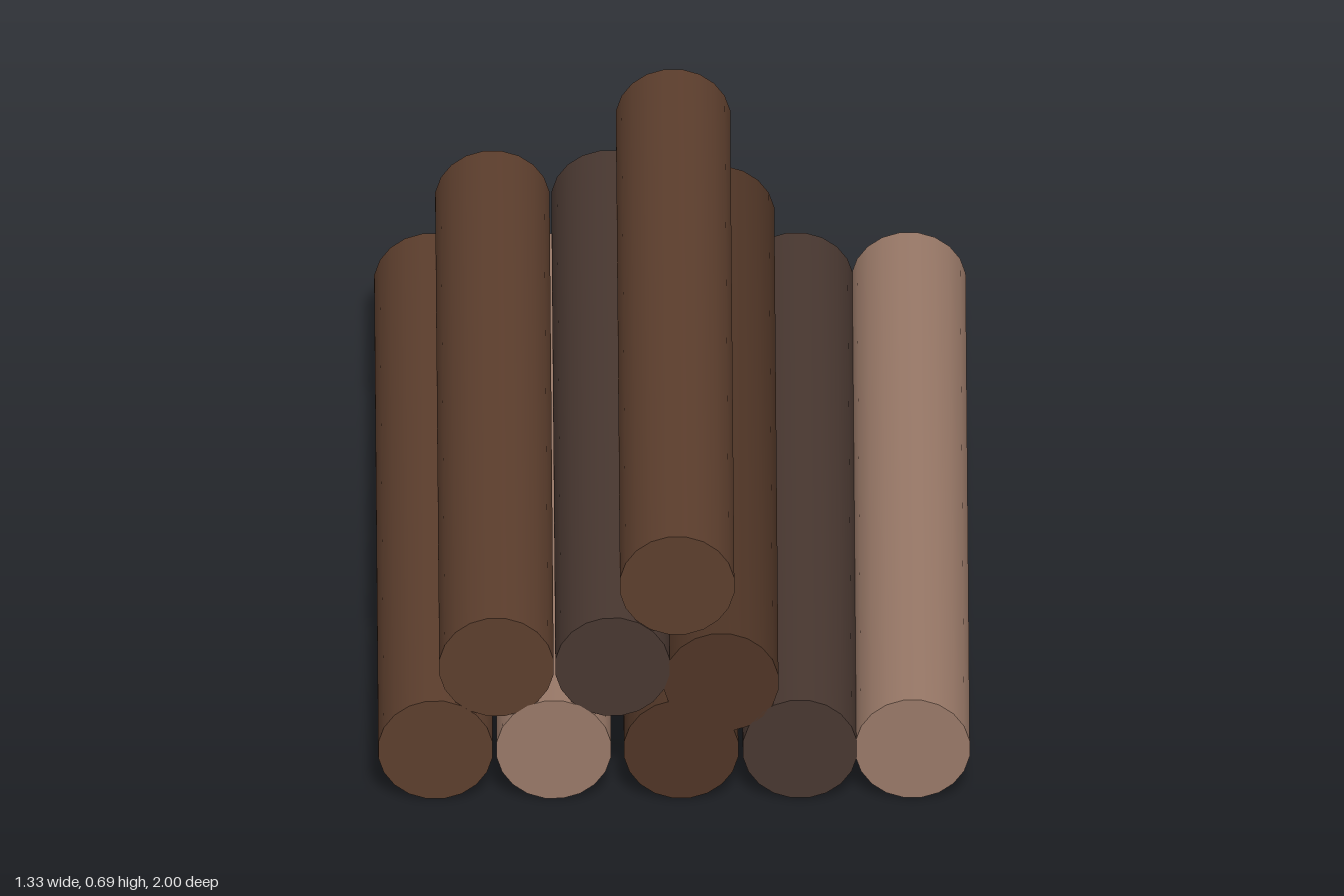
import * as THREE from 'three';

const SIDES = 20, RADIUS = 0.13, LENGTH = 2;

const BROWN = 0x5c3e2d, LIGHT = 0x987867, DARK = 0x4e3425, GREY = 0x483730;

// x, y of each log's axis, and its bark colour
const LOGS = {
  bottomLog: [
    [-0.537, 0.129, BROWN], [-0.271, 0.129, LIGHT], [0.015, 0.129, DARK],
    [0.282, 0.129, GREY], [0.535, 0.129, LIGHT],
  ],
  middleLog: [[-0.4, 0.347, BROWN], [-0.139, 0.347, GREY], [0.105, 0.305, DARK]],
  topLog: [[0.006, 0.561, BROWN]],
};

export function createModel() {
  const model = new THREE.Group();
  model.name = 'logPile';

  // One shared log, lying along z with a flat facet at the bottom
  const log = new THREE.CylinderGeometry(RADIUS, RADIUS, LENGTH, SIDES);
  log.rotateY(Math.PI / SIDES);
  log.rotateX(Math.PI / 2);

  // One material per bark colour
  const bark = {};
  for (const color of [BROWN, LIGHT, DARK, GREY]) {
    bark[color] = new THREE.MeshStandardMaterial({ color });
  }

  // Stack the rows
  for (const [name, row] of Object.entries(LOGS)) {
    row.forEach(([x, y, color], i) => {
      const mesh = new THREE.Mesh(log, bark[color]);
      mesh.name = name + (i + 1);
      mesh.position.set(x, y, 0);
      model.add(mesh);
    });
  }
  return model;
}
